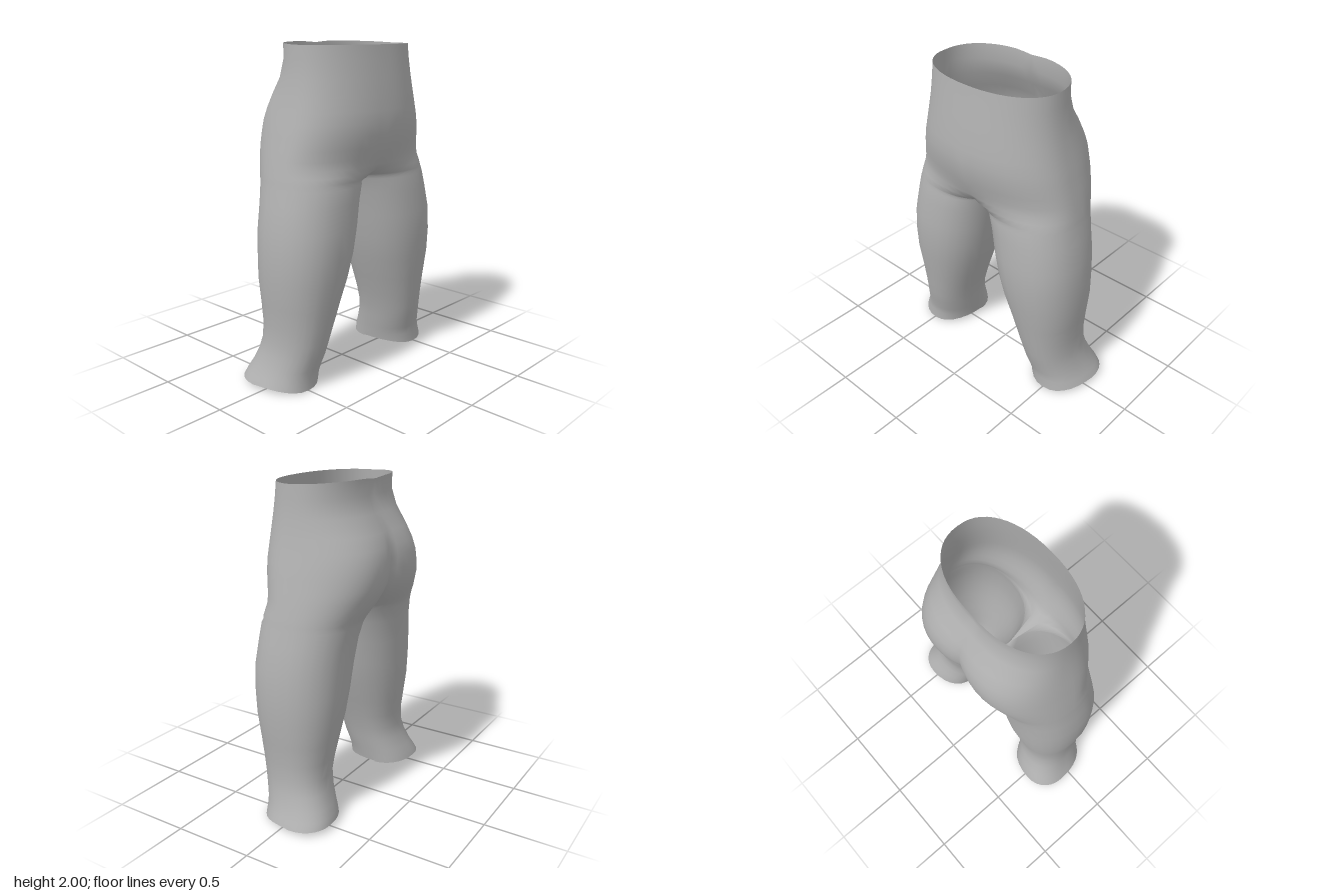
import * as THREE from 'three';
import { mergeVertices } from 'three/addons/utils/BufferGeometryUtils.js';

// Torso sections: y, outer x, front lobe x, back lobe x, front z, back z, side z
const torso = [
  [1.985, 0.43, 0, 0.04, 0.315, -0.22, 0.05],
  [1.9, 0.435, 0, 0.05, 0.325, -0.213, 0.05],
  [1.8, 0.445, 0, 0.06, 0.34, -0.25, 0.05],
  [1.7, 0.465, 0, 0.1, 0.352, -0.31, 0.05],
  [1.62, 0.482, 0, 0.13, 0.361, -0.345, 0.05],
  [1.55, 0.5, 0, 0.15, 0.365, -0.362, 0.05],
  [1.48, 0.516, 0, 0.165, 0.358, -0.364, 0.05],
  [1.41, 0.532, 0.01, 0.18, 0.343, -0.358, 0.045],
  [1.35, 0.546, 0.05, 0.2, 0.322, -0.338, 0.04],
  [1.3, 0.556, 0.12, 0.225, 0.31, -0.317, 0.035],
  [1.26, 0.565, 0.2, 0.25, 0.307, -0.297, 0.035],
  [1.225, 0.572, 0.255, 0.272, 0.305, -0.28, 0.035],
];
// Leg sections: y, outer x, inner x, front z, back z, side z, back lobe shift
const leg = [
  [1.19, 0.578, 0, 0.306, -0.268, 0.035, 0],
  [1.1, 0.597, 0.03, 0.313, -0.25, 0.04, 0],
  [0.95, 0.625, 0.063, 0.325, -0.237, 0.045, 0],
  [0.8, 0.633, 0.095, 0.322, -0.228, 0.045, 0],
  [0.65, 0.635, 0.135, 0.305, -0.214, 0.04, 0],
  [0.5, 0.62, 0.188, 0.28, -0.19, 0.03, 0],
  [0.38, 0.612, 0.226, 0.26, -0.17, 0.02, 0],
  [0.28, 0.613, 0.256, 0.243, -0.165, 0.005, 0.01],
  [0.2, 0.626, 0.271, 0.226, -0.183, -0.01, 0.02],
  [0.12, 0.652, 0.286, 0.203, -0.215, -0.035, 0.025],
  [0.07, 0.678, 0.294, 0.196, -0.238, -0.055, 0.03],
  [0.03, 0.7, 0.3, 0.198, -0.25, -0.07, 0.03],
];

const HALF = 14;
const power = (v) => Math.sign(v) * Math.abs(v) ** 0.9;

// One contour from the front centre round the outside to the back centre
function contour({ y, xo, xi, cf, cb, zf, zb, zc }) {
  const points = [];
  for (let j = -HALF; j <= HALF; j++) {
    const front = j < 0;
    const cx = front ? cf : cb;
    const inner = xi === null ? xo - cx : cx - xi;
    const end = xi === null ? Math.acos(-((cx / inner) ** (1 / 0.9))) : Math.PI;
    const a = (Math.abs(j) / HALF) * end;
    const c = power(Math.cos(a));
    const s = power(Math.max(0, Math.sin(a)));
    let x = cx + c * (c > 0 ? xo - cx : inner);
    if (Math.abs(x) < 1e-4 || (xi === null && Math.abs(j) === HALF)) x = 0;
    const z = zc + s * ((front ? zf : zb) - zc);
    // Uneven waist and hem edges
    let py = y;
    if (y > 1.95 && !front) py += 0.014 * s * Math.min(1, 0.4 + x * 5);
    if (y < 0.05) py -= front ? 0.027 * s ** 3 : 0.006 * (1 - s);
    points.push([x, py, z]);
  }
  return points;
}

function createBody() {
  const rows = [
    ...torso.map(([y, xo, cf, cb, zf, zb, zc]) => contour({ y, xo, xi: null, cf, cb, zf, zb, zc })),
    ...leg.map(([y, xo, xi, zf, zb, zc, shift]) => {
      const mid = (xo + xi) / 2;
      return contour({ y, xo, xi, cf: mid, cb: mid + shift, zf, zb, zc });
    }),
  ];
  const cols = HALF * 2 + 1;
  const positions = [];
  const index = [];
  // Left half, then its mirror image with reversed faces
  for (const side of [1, -1]) {
    const base = positions.length / 3;
    for (const row of rows) for (const [x, y, z] of row) positions.push(x === 0 ? 0 : x * side, y, z);
    for (let i = 0; i < rows.length - 1; i++) {
      for (let j = 0; j < cols - 1; j++) {
        const a = base + i * cols + j;
        const b = a + cols;
        if (side > 0) index.push(a, b, a + 1, b, b + 1, a + 1);
        else index.push(a, a + 1, b, b, a + 1, b + 1);
      }
    }
  }
  const geometry = new THREE.BufferGeometry();
  geometry.setAttribute('position', new THREE.Float32BufferAttribute(positions, 3));
  geometry.setIndex(index);
  const welded = mergeVertices(geometry, 1e-4);
  welded.computeVertexNormals();
  return welded;
}

export function createModel() {
  const group = new THREE.Group();
  group.name = 'trousers';
  const greyCloth = new THREE.MeshStandardMaterial({ color: 0xb0b0b0, side: THREE.DoubleSide });
  greyCloth.name = 'greyCloth';
  const body = new THREE.Mesh(createBody(), greyCloth);
  body.name = 'trouserBody';
  group.add(body);
  return group;
}
